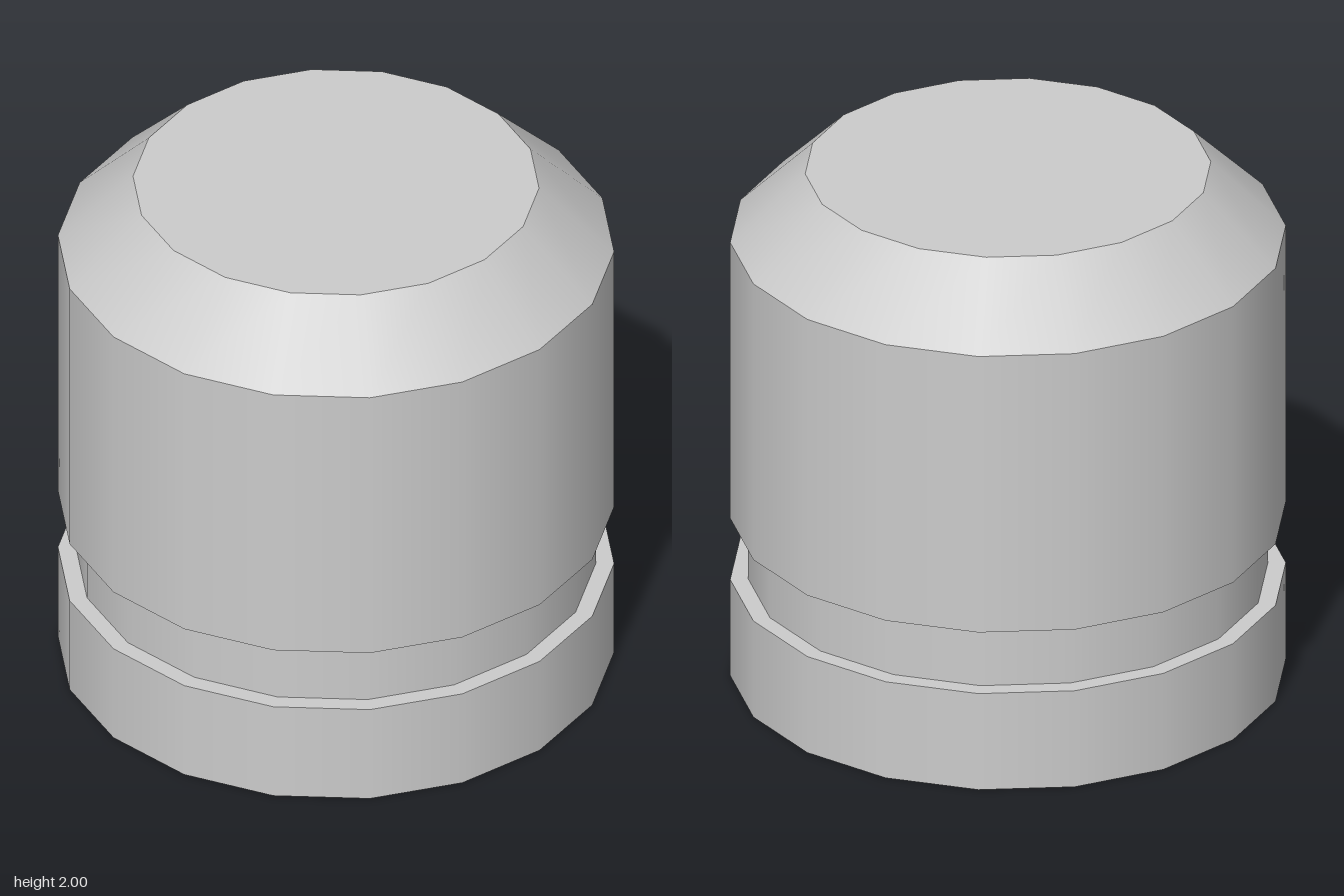
import * as THREE from 'three';

const SIDES = 18;

export function createModel() {
  const group = new THREE.Group();
  group.name = 'groovedPlug';
  const material = new THREE.MeshStandardMaterial({ color: 0xcccccc });

  // Smooth-sided 18-gon section with a corner on the x axis
  const addSection = (name, bottomY, topY, bottomRadius, topRadius = bottomRadius, open = false) => {
    const geometry = new THREE.CylinderGeometry(
      topRadius, bottomRadius, topY - bottomY, SIDES, 1, open, Math.PI / 2);
    geometry.translate(0, (bottomY + topY) / 2, 0);
    const mesh = new THREE.Mesh(geometry, material);
    mesh.name = name;
    group.add(mesh);
  };

  // Base ring, recessed groove, main body
  addSection('base', 0, 0.385, 1);
  addSection('groove', 0.385, 0.63, 0.935, 0.935, true);
  addSection('body', 0.63, 1.735, 1);

  // Bevelled shoulder with a flat top
  addSection('bevelledTop', 1.735, 2, 1, 0.73);

  return group;
}
